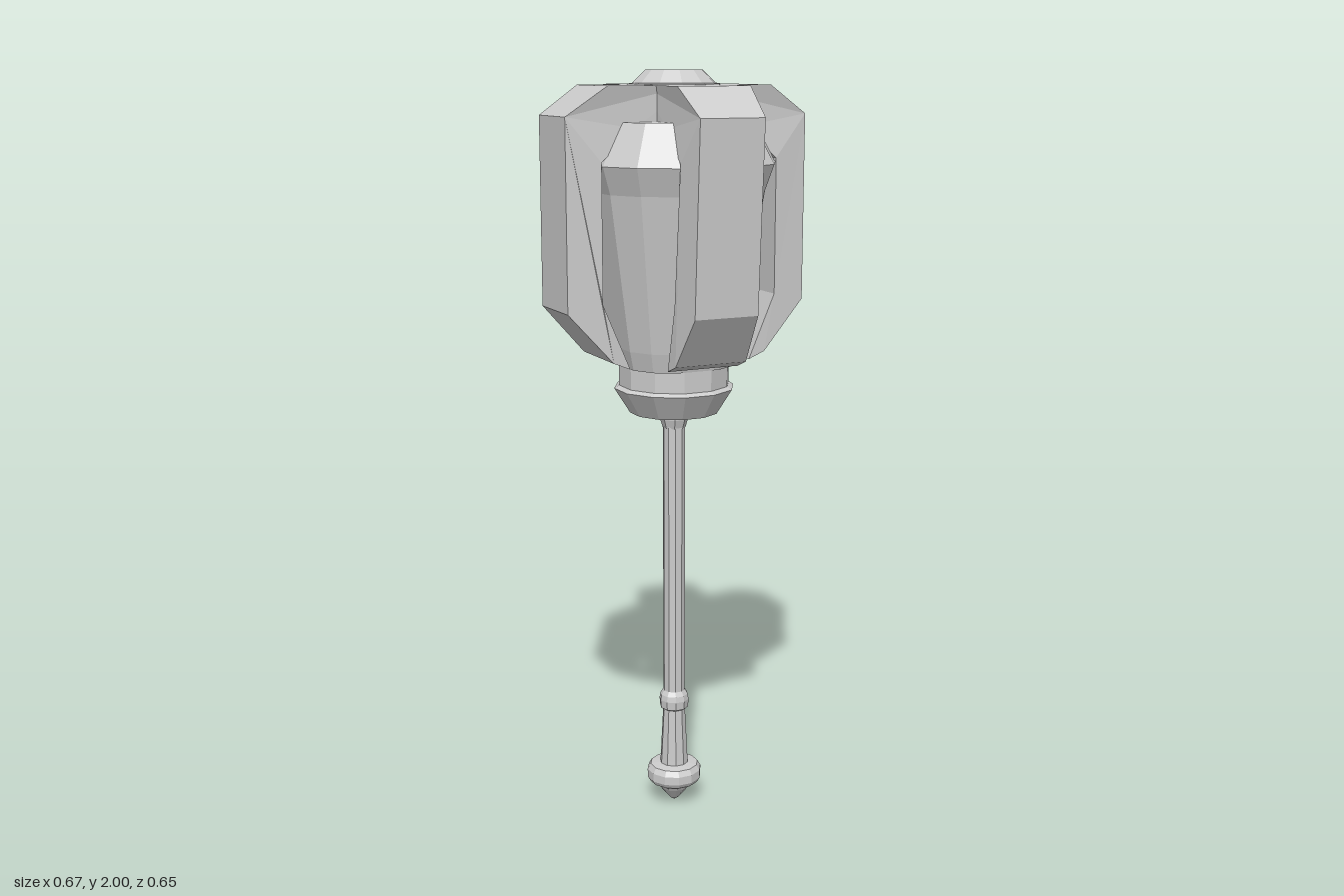
import * as THREE from 'three';

const material = new THREE.MeshStandardMaterial({ color: 0xcccccc, flatShading: true, side: THREE.DoubleSide });

// Faceted turned part; profile is [radius, y] from bottom to top
function turned(name, profile, sides, phase = Math.PI / sides) {
  const points = profile.map(([r, y]) => new THREE.Vector2(r, y));
  const mesh = new THREE.Mesh(new THREE.LatheGeometry(points, sides, phase), material);
  mesh.name = name;
  return mesh;
}

// Core: sixteen-sided, with the four axis corners pulled in to make wide flats
function makeCore() {
  const core = turned('core', [
    [0, 1.25], [0.155, 1.25], [0.168, 1.3], [0.235, 1.7], [0.26, 1.77], [0.203, 1.875], [0, 1.875],
  ], 16, 0);
  const p = core.geometry.attributes.position;
  for (let i = 0; i < p.count; i++) {
    const x = p.getX(i), z = p.getZ(i);
    const step = Math.round(Math.atan2(z, x) / (Math.PI / 8));
    const k = step % 4 === 0 ? Math.cos(Math.PI / 8) : Math.abs(step % 2) === 1 ? 1 : 1.025;
    p.setXYZ(i, x * k, p.getY(i), z * k);
  }
  return core;
}

// Flange: hooked profile in the x-y plane, slightly narrower on its outer face
function makeFlange(topReach, bottomReach) {
  const shape = new THREE.Shape([
    [0, 1.963], [0, 1.86], [0.15, 1.86], [0.243, 1.78], [bottomReach - 0.09, 1.43],
    [0.17, 1.262], [0.215, 1.28], [bottomReach, 1.41], [topReach, 1.89], [0.225, 1.963],
  ].map(([x, y]) => new THREE.Vector2(x, y)));
  const geometry = new THREE.ExtrudeGeometry(shape, { depth: 1, bevelEnabled: false });
  const p = geometry.attributes.position;
  for (let i = 0; i < p.count; i++) {
    const x = p.getX(i);
    const half = x > 0.27 ? 0.087 : x > 0.16 ? 0.099 : 0.09;
    p.setZ(i, (p.getZ(i) - 0.5) * 2 * half);
  }
  geometry.computeVertexNormals();
  return new THREE.Mesh(geometry, material);
}

export function createModel() {
  const model = new THREE.Group();
  model.name = 'mace';

  model.add(makeCore());

  // Four flanges around the core
  for (let i = 0; i < 4; i++) {
    const flange = i % 2 ? makeFlange(0.325, 0.3) : makeFlange(0.333, 0.333);
    flange.name = ['leftFlange', 'backFlange', 'rightFlange', 'frontFlange'][i];
    flange.rotation.y = i * Math.PI / 2;
    model.add(flange);
  }

  // Crown on top and collar below the head
  model.add(turned('crown', [
    [0.12, 1.95], [0.12, 1.966], [0.107, 1.968], [0.1, 1.975], [0.074, 2], [0.066, 1.998], [0, 1.998],
  ], 12));
  model.add(turned('collar', [
    [0, 1.12], [0.118, 1.12], [0.16, 1.187], [0.147, 1.195], [0.147, 1.255], [0, 1.255],
  ], 12));

  // Handle
  model.add(turned('shaftNeck', [[0.03, 1.075], [0.038, 1.1], [0.038, 1.13]], 8));
  model.add(turned('shaft', [[0.03, 0.3], [0.03, 1.13]], 10));
  model.add(turned('gripRing', [
    [0.028, 0.275], [0.039, 0.282], [0.041, 0.305], [0.038, 0.32], [0.03, 0.332],
  ], 10));
  model.add(turned('grip', [[0.04, 0.1], [0.038, 0.13], [0.03, 0.29]], 10));
  model.add(turned('pommel', [
    [0, 0], [0.012, 0.008], [0.04, 0.042], [0.045, 0.05], [0.068, 0.063], [0.075, 0.075],
    [0.075, 0.098], [0.066, 0.113], [0.036, 0.117],
  ], 12));

  return model;
}
